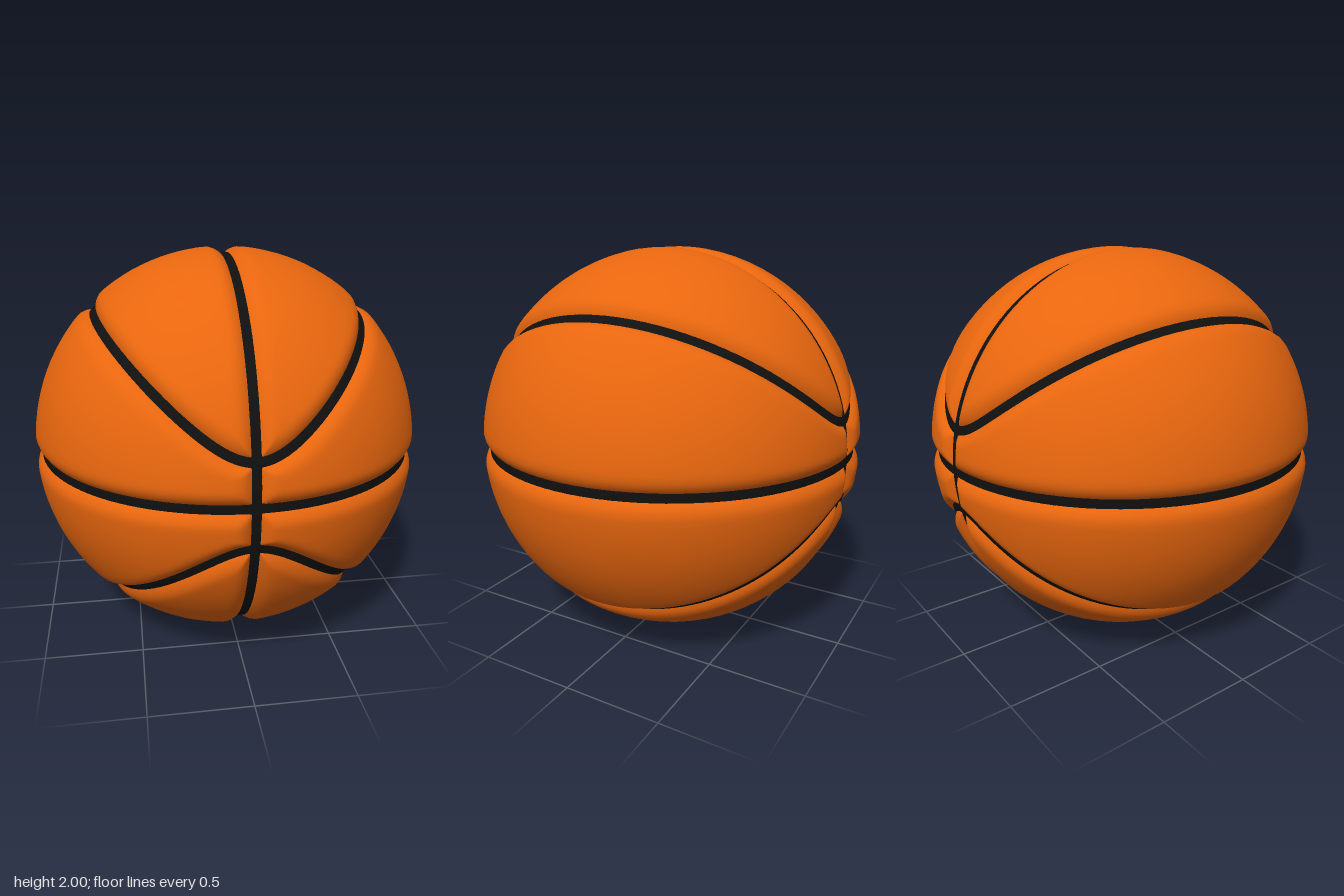
import * as THREE from 'three';

const C = 0.043;          // curved seams follow y² - x² = C on the unit sphere
const SCALE = 1.003;
const GROOVE = 0.09;      // half width of the rounded groove

const leather = new THREE.MeshStandardMaterial({ color: 0xe8660e });
const rubber = new THREE.MeshStandardMaterial({ color: 0x101010 });

// Directions along the three kinds of seam
const curvedSeam = a => {
  const x = Math.sqrt((1 - C) / 2) * Math.sin(a);
  return new THREE.Vector3(x, Math.sqrt(C + x * x), Math.sqrt(1 - C) * Math.cos(a));
};
const equatorSeam = a => new THREE.Vector3(Math.sin(a), 0, Math.cos(a));
const meridianSeam = a => new THREE.Vector3(0, Math.sin(a), Math.cos(a));
// Part of the meridian that lies between the ends of a curved seam
const meridianArc = a => {
  const z = Math.sqrt(1 - C) * Math.cos(a);
  return new THREE.Vector3(0, Math.sqrt(1 - z * z), z);
};

// Surface radius: dips towards the nearest seam
function radiusAt({ x, y }) {
  const curved = Math.abs(y * y - x * x - C) / (2 * Math.hypot(x, y) + 1e-6);
  const d = Math.min(Math.abs(x), Math.abs(y), curved);
  const k = Math.max(0, 1 - d / GROOVE);
  return SCALE * (1 - 0.055 * k * k);
}

// Grid surface from point(u, v), u and v in 0..1
function gridGeometry(nu, nv, point, flip = false) {
  const positions = [], index = [];
  for (let i = 0; i <= nu; i++)
    for (let j = 0; j <= nv; j++) positions.push(...point(i / nu, j / nv).toArray());
  for (let i = 0; i < nu; i++)
    for (let j = 0; j < nv; j++) {
      const a = i * (nv + 1) + j, b = a + nv + 1;
      if (flip) index.push(a, a + 1, b, b, a + 1, b + 1);
      else index.push(a, b, a + 1, b, b + 1, a + 1);
    }
  const g = new THREE.BufferGeometry();
  g.setAttribute('position', new THREE.Float32BufferAttribute(positions, 3));
  g.setIndex(index);
  g.computeVertexNormals();
  return g;
}

// Rows gather near the edges, where the groove bends
const ease = t => (1 - Math.cos(Math.PI * t)) / 2;

// Panel stretched between two seams, mirrored by sx and sy
function panel(name, from, to, sx, sy) {
  const point = (u, v) => {
    const a = Math.PI * ease(u);
    const p = from(a).lerp(to(a), ease(v)).normalize();
    p.multiplyScalar(radiusAt(p));
    return p.set(p.x * sx, p.y * sy, p.z);
  };
  const mesh = new THREE.Mesh(gridGeometry(72, 24, point, sx * sy < 0), leather);
  mesh.name = name;
  return mesh;
}

// Closed dark band on the floor of a groove
function seam(name, curve) {
  const point = (u, v) => {
    const a = u * Math.PI * 2;
    const dir = curve(a);
    const tangent = curve(a + 1e-3).sub(curve(a - 1e-3)).normalize();
    const side = dir.clone().cross(tangent).normalize();
    return dir.addScaledVector(side, (v - 0.5) * 0.048).normalize().multiplyScalar(0.969 * SCALE);
  };
  const mesh = new THREE.Mesh(gridGeometry(128, 2, point), rubber);
  mesh.name = name;
  return mesh;
}

export function createModel() {
  const ball = new THREE.Group();
  ball.name = 'basketball';
  ball.position.y = 1;

  // Eight leather panels
  for (const sx of [1, -1])
    for (const sy of [1, -1]) {
      const place = (sy > 0 ? 'upper' : 'lower') + (sx > 0 ? 'Left' : 'Right');
      ball.add(panel(place + 'SidePanel', equatorSeam, curvedSeam, sx, sy));
      ball.add(panel(place + 'CapPanel', curvedSeam, meridianArc, sx, sy));
    }

  // Four seams
  ball.add(seam('equatorSeam', equatorSeam));
  ball.add(seam('meridianSeam', meridianSeam));
  ball.add(seam('upperCurvedSeam', curvedSeam));
  ball.add(seam('lowerCurvedSeam', a => {
    const p = curvedSeam(a);
    return p.set(p.x, -p.y, p.z);
  }));

  const model = new THREE.Group();
  model.name = 'model';
  model.add(ball);
  return model;
}
